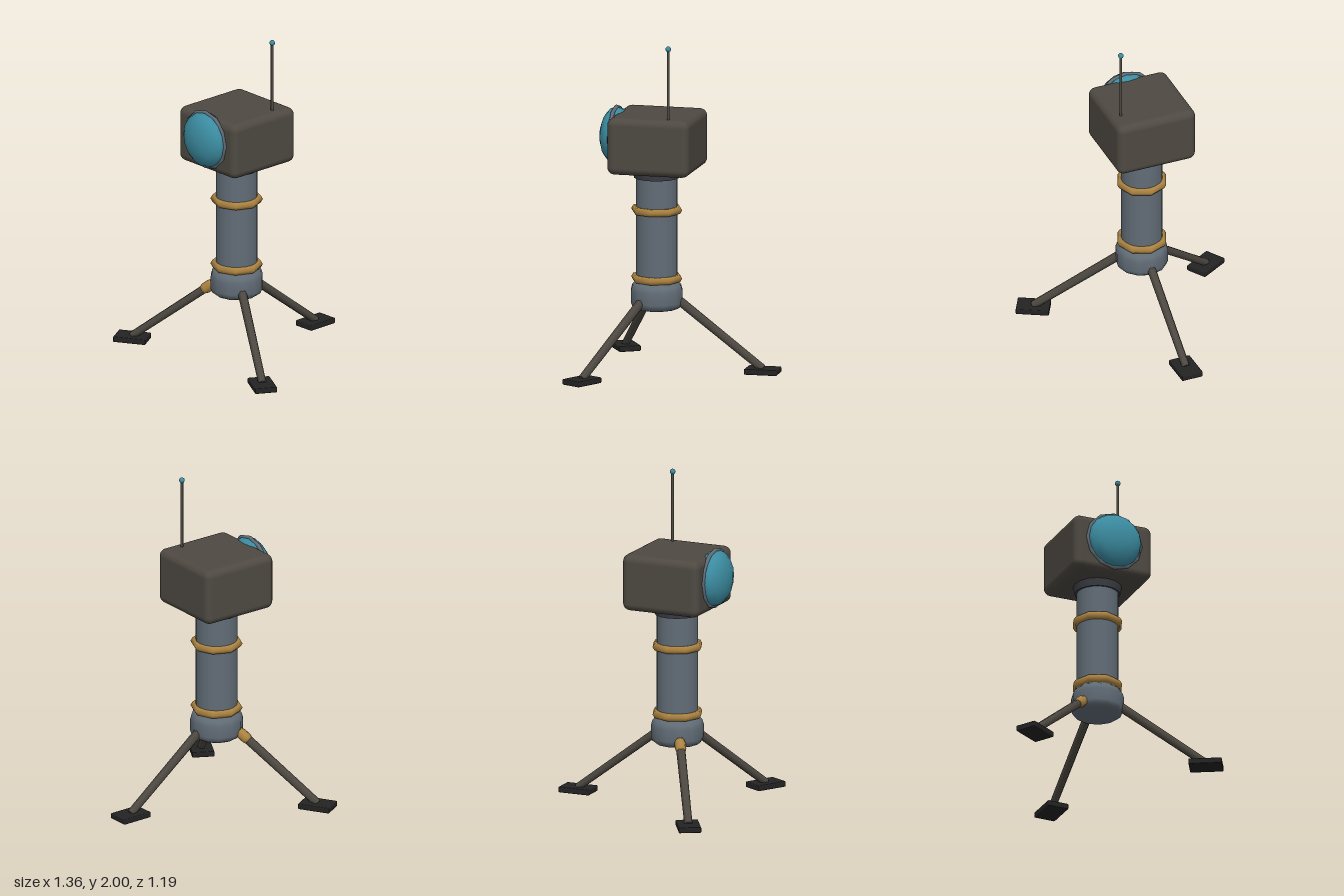
import * as THREE from 'three';
import { RoundedBoxGeometry } from 'three/addons/geometries/RoundedBoxGeometry.js';

const mat = (name, color) => {
  const m = new THREE.MeshStandardMaterial({ color });
  m.name = name;
  return m;
};

export function createModel() {
  const brown = mat('warm dark grey', 0x4e4942);
  const slate = mat('slate', 0x626d77);
  const dark = mat('dark slate', 0x3f4149);
  const gold = mat('gold', 0xad8441);
  const teal = mat('teal', 0x3c8da2);
  const black = mat('black', 0x232323);

  const model = new THREE.Group();
  model.name = 'tripodSensor';
  const add = (name, geometry, material, x = 0, y = 0, z = 0, parent = model) => {
    const mesh = new THREE.Mesh(geometry, material);
    mesh.name = name;
    mesh.position.set(x, y, z);
    parent.add(mesh);
    return mesh;
  };
  const up = new THREE.Vector3(0, 1, 0);
  const CX = -0.01, CZ = 0.156; // column axis

  // Hub with rounded top and bottom edges
  const hub = [[0, 0.37], [0.13, 0.37], [0.15, 0.385], [0.159, 0.41], [0.159, 0.48],
    [0.15, 0.51], [0.128, 0.533], [0, 0.533]].map(p => new THREE.Vector2(...p));
  add('hub', new THREE.LatheGeometry(hub, 12), slate, CX, 0, CZ);

  // Column, its bands and the neck collar
  add('column', new THREE.CylinderGeometry(0.125, 0.125, 0.7, 20), slate, CX, 0.85, CZ);
  for (const y of [0.555, 0.97]) {
    const band = new THREE.TorusGeometry(0.132, 0.025, 6, 8).rotateX(Math.PI / 2);
    add('columnBand', band, gold, CX, y, CZ);
  }
  add('collar', new THREE.CylinderGeometry(0.147, 0.136, 0.05, 16), dark, CX, 1.19, CZ);

  // Head with flattened lens and rim
  add('head', new RoundedBoxGeometry(0.505, 0.345, 0.505, 3, 0.045), brown, CX, 1.383, 0.153);
  const lens = new THREE.SphereGeometry(0.172, 16, 8).rotateX(Math.PI / 2).scale(1, 1, 0.095 / 0.172);
  add('lens', lens, teal, CX, 1.41, 0.405);
  add('lensRim', new THREE.TorusGeometry(0.171, 0.013, 6, 12), slate, CX, 1.41, 0.405);

  // Antenna
  add('antenna', new THREE.CylinderGeometry(0.009, 0.009, 0.46, 8), brown, 0.175, 1.755, 0.037);
  add('antennaTip', new THREE.SphereGeometry(0.017, 10, 8), teal, 0.175, 1.983, 0.037);

  // Three splayed legs, each built along +x and turned about the column
  const top = new THREE.Vector3(0.12, 0.435, 0);
  const foot = new THREE.Vector3(0.65, 0.03, 0);
  const dir = foot.clone().sub(top);
  const length = dir.length();
  dir.normalize();
  for (let i = 0; i < 3; i++) {
    const leg = new THREE.Group();
    leg.name = 'leg';
    leg.position.set(CX, 0, CZ);
    leg.rotation.y = -THREE.MathUtils.degToRad(28.8 + 120 * i);
    model.add(leg);
    const strut = add('strut', new THREE.CylinderGeometry(0.025, 0.028, length, 6), brown, 0, 0, 0, leg);
    strut.position.copy(top).lerp(foot, 0.5);
    strut.quaternion.setFromUnitVectors(up, dir);
    add('footPad', new RoundedBoxGeometry(0.2, 0.035, 0.135, 1, 0.006), black, 0.65, 0.0175, 0, leg);
    // Clamp at the top of one leg only
    if (i === 1) {
      const clamp = add('legClamp', new THREE.CapsuleGeometry(0.034, 0.04, 3, 8), gold, 0, 0, 0, leg);
      clamp.position.copy(top).addScaledVector(dir, 0.07);
      clamp.quaternion.copy(strut.quaternion);
    }
  }
  return model;
}
